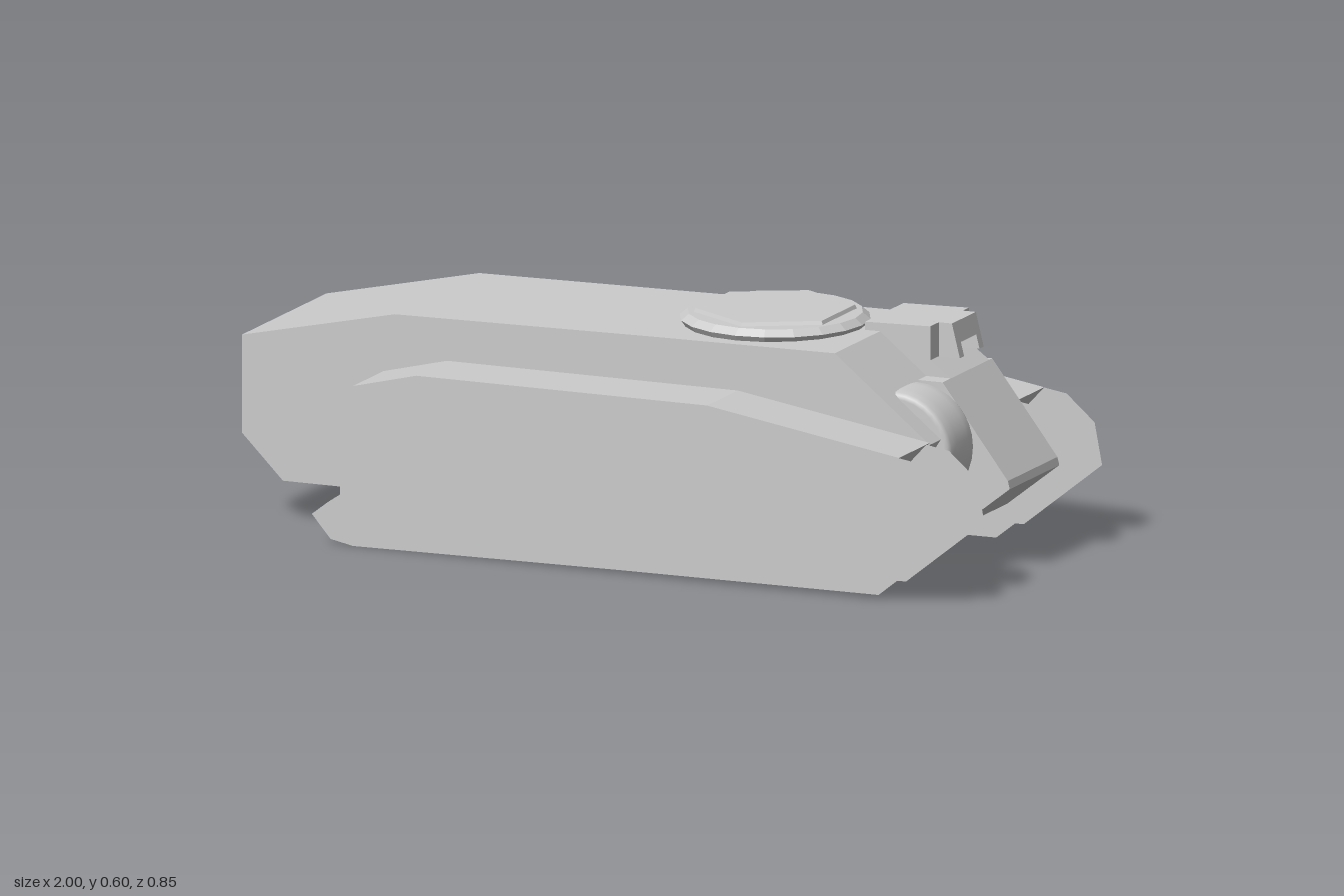
import * as THREE from 'three';

const solid = new THREE.MeshStandardMaterial({ color: 0xcccccc, flatShading: true });
const sheet = new THREE.MeshStandardMaterial({ color: 0xcccccc, flatShading: true, side: THREE.DoubleSide });
const smooth = new THREE.MeshStandardMaterial({ color: 0xcccccc });

const shapeOf = pts => new THREE.Shape(pts.map(p => new THREE.Vector2(...p)));

export function createModel() {
  const root = new THREE.Group();
  const add = (name, geometry, material = solid) => {
    const mesh = new THREE.Mesh(geometry, material);
    mesh.name = name;
    root.add(mesh);
    return mesh;
  };
  // Side profile (x, y) given thickness between two z positions
  const slab = (name, pts, z0, z1) => {
    const g = new THREE.ExtrudeGeometry(shapeOf(pts), { depth: z1 - z0, bevelEnabled: false });
    return add(name, g.translate(0, 0, z0));
  };
  // Open strip following a path (x, y) across z0..z1
  const strip = (name, path, z0, z1) => {
    const g = new THREE.PlaneGeometry(1, 1, path.length - 1, 1);
    const pos = g.attributes.position, n = path.length;
    for (let i = 0; i < pos.count; i++) {
      const [x, y] = path[i % n];
      pos.setXYZ(i, x, y, i < n ? z0 : z1);
    }
    g.computeVertexNormals();
    return add(name, g, sheet);
  };

  // Hull with sloped tail and raked nose
  slab('hull', [[-1, 0.21], [-0.89, 0.1], [0.68, 0.1], [0.845, 0.355], [0.59, 0.56],
    [0.1, 0.555], [-0.59, 0.545], [-1, 0.455]], -0.25, 0.245);

  // Driver's cab and glacis on one half of the nose
  slab('driverCab', [[0.55, 0.5], [0.66, 0.1], [0.82, 0.1], [0.96, 0.21], [0.955, 0.23],
    [0.78, 0.46], [0.725, 0.5], [0.725, 0.585], [0.55, 0.58]], -0.245, -0.02);
  slab('glacis', [[0.6, 0.1], [0.82, 0.1], [0.96, 0.21], [0.955, 0.23], [0.78, 0.46], [0.6, 0.46]], -0.262, 0.028);

  // Vision port: hood with two cheeks around a slot
  const port = shapeOf([[0.07, 0.5], [0.07, 0.585], [0.21, 0.585], [0.21, 0.5],
    [0.185, 0.5], [0.185, 0.535], [0.095, 0.535], [0.095, 0.5]]);
  const portGeo = new THREE.ExtrudeGeometry(port, { depth: 0.06, bevelEnabled: false });
  portGeo.rotateY(Math.PI / 2).translate(0.71, 0, 0);
  const p = portGeo.attributes.position;
  for (let i = 0; i < p.count; i++) { // lean the lower edge forward
    if (p.getX(i) > 0.74) p.setX(i, 0.76 + (0.585 - p.getY(i)) * 0.25);
  }
  portGeo.computeVertexNormals();
  add('visionPort', portGeo);

  // Rounded drum of the nose mount
  const drumProfile = [[0, -0.075], [0.135, -0.075], [0.144, -0.071], [0.149, -0.06], [0.151, -0.03],
    [0.151, 0.03], [0.149, 0.06], [0.144, 0.071], [0.135, 0.075], [0, 0.075]];
  const drum = add('mountDrum',
    new THREE.LatheGeometry(drumProfile.map(q => new THREE.Vector2(...q)), 32), smooth);
  drum.rotation.x = Math.PI / 2;
  drum.position.set(0.72, 0.31, 0.105);

  // Roof hatch: tapered ring, disc and raised hexagonal plate
  const hatch = (name, rTop, rBottom, h, y, sides) => {
    add(name, new THREE.CylinderGeometry(rTop, rBottom, h, sides)).position.set(0.31, y + h / 2, -0.018);
  };
  hatch('hatchBase', 0.234, 0.222, 0.018, 0.553, 20);
  hatch('hatchRim', 0.215, 0.234, 0.016, 0.571, 20);
  hatch('hatchPlate', 0.195, 0.2, 0.009, 0.587, 6);

  // Track units: thin side plates joined by a roof and tail strip, open in front and below
  const plate = shapeOf([[-0.655, 0.125], [-0.655, 0.36], [-0.62, 0.4], [-0.45, 0.442], [0.33, 0.442],
    [0.84, 0.36], [0.905, 0.35], [0.98, 0.285], [1, 0.18], [0.79, 0.012], [0.1, 0.008],
    [-0.62, 0], [-0.68, 0.012], [-0.73, 0.07], [-0.685, 0.105]]);
  const roof = [[-0.62, 0.16], [-0.655, 0.125], [-0.655, 0.36], [-0.62, 0.4], [-0.45, 0.442],
    [0.33, 0.442], [0.845, 0.36], [0.79, 0.3]];
  for (const s of [1, -1]) {
    const side = s > 0 ? 'front' : 'back';
    add(side + 'OuterTrackPlate', new THREE.ShapeGeometry(plate), sheet).position.z = s * 0.425;
    add(side + 'InnerTrackPlate', new THREE.ShapeGeometry(plate), sheet).position.z = s * 0.264;
    strip(side + 'TrackRoof', roof, s > 0 ? 0.245 : -0.425, s > 0 ? 0.425 : -0.25);
  }
  return root;
}
